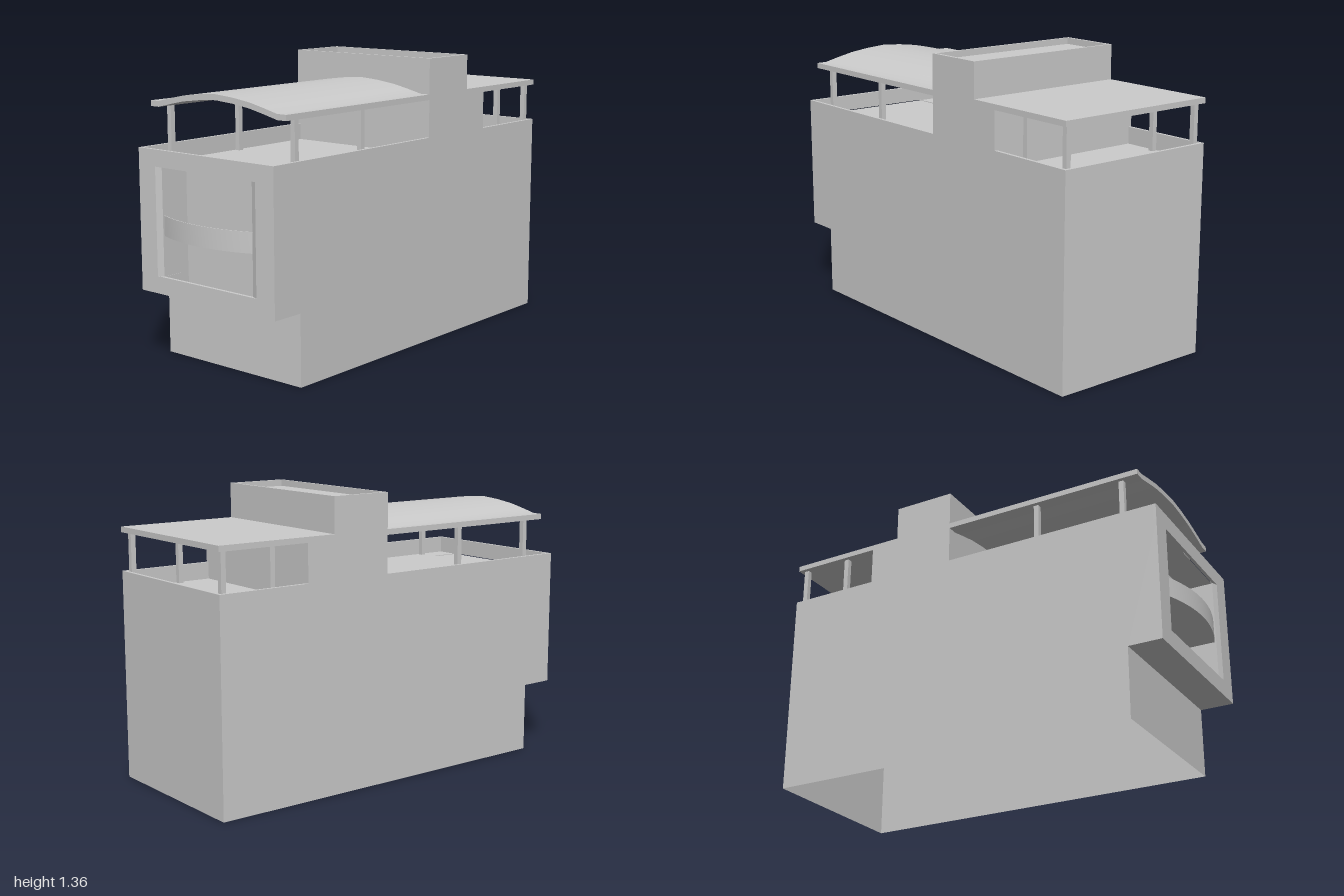
import * as THREE from 'three';
import { toCreasedNormals } from 'three/addons/utils/BufferGeometryUtils.js';

const W = 0.41, RIM = 0.015, IN = W - RIM;   // half width, parapet thickness, inner half width
const FLOOR = 0.905, TOP = 0.985;            // terrace floor and parapet top
const BACK = 0.805, FRONT = 0.965;           // lower front wall, overhanging front wall
const JAMB = 0.275;                          // half width of the window room
const mat = new THREE.MeshStandardMaterial({ color: 0xcccccc, side: THREE.DoubleSide });

export function createModel() {
  const model = new THREE.Group();

  const add = (name, geo) => {
    const m = new THREE.Mesh(geo, mat);
    m.name = name;
    model.add(m);
  };
  // box from its limits
  const box = (name, x0, x1, y0, y1, z0, z1) =>
    add(name, new THREE.BoxGeometry(x1 - x0, y1 - y0, z1 - z0)
      .translate((x0 + x1) / 2, (y0 + y1) / 2, (z0 + z1) / 2));
  const shapeOf = pts => new THREE.Shape(pts.map(p => new THREE.Vector2(p[0], p[1])));
  const extrude = (shape, depth) =>
    new THREE.ExtrudeGeometry(shape, { depth, bevelEnabled: false });
  // open sheet following [z, y] points, spanning x from -w to w
  const ribbon = (name, pts, w) => {
    const pos = [];
    for (let i = 0; i < pts.length - 1; i++) {
      const [z0, y0] = pts[i], [z1, y1] = pts[i + 1];
      pos.push(-w, y0, z0, w, y0, z0, w, y1, z1, -w, y0, z0, w, y1, z1, -w, y1, z1);
    }
    const geo = new THREE.BufferGeometry();
    geo.setAttribute('position', new THREE.Float32BufferAttribute(pos, 3));
    geo.computeVertexNormals();
    add(name, geo);
  };

  // Hollow body, open underneath
  ribbon('backWall', [[-1, FLOOR], [-1, 0]], W);
  ribbon('lowerFrontWall', [[BACK, 0], [BACK, 0.33], [FRONT, 0.33]], W);
  ribbon('terracesAndTower', [
    [0.95, FLOOR], [-0.1, FLOOR], [-0.1, 1.355], [-0.112, 1.355], [-0.112, 1.325],
    [-0.39, 1.325], [-0.39, 1.355], [-0.402, 1.355], [-0.402, 1.165], [-0.545, 1.165],
    [-0.545, FLOOR], [-0.985, FLOOR], [-0.985, TOP], [-1, TOP], [-1, FLOOR],
  ].reverse(), IN);

  // Side walls: thin below, thick where they rise above the terrace floors
  const lowerSide = shapeOf([
    [-1, 0], [BACK, 0], [BACK, 0.33], [FRONT, 0.33], [FRONT, FLOOR], [-1, FLOOR],
  ]);
  const upperSide = shapeOf([
    [-1, FLOOR], [0.95, FLOOR], [0.95, TOP], [-0.1, TOP], [-0.1, 1.355], [-0.402, 1.355],
    [-0.402, 1.165], [-0.545, 1.165], [-0.545, TOP], [-1, TOP],
  ]);
  for (const s of [1, -1]) {
    add('sideWall', new THREE.ShapeGeometry(lowerSide)
      .rotateY(-s * Math.PI / 2).scale(1, 1, s).translate(s * W, 0, 0));
    add('sideParapet', extrude(upperSide, RIM).rotateY(-Math.PI / 2)
      .translate(s > 0 ? W : -IN, 0, 0));
  }

  // Front wall and parapet with the window opening
  const frame = shapeOf([[-W, 0.33], [W, 0.33], [W, TOP], [-W, TOP]]);
  frame.holes.push(shapeOf([[-0.305, 0.41], [-0.305, 0.908], [0.305, 0.908], [0.305, 0.41]]));
  add('frontWall', extrude(frame, RIM).translate(0, 0, FRONT - RIM));

  // Room behind the window, with flared jambs
  box('windowRoomBack', -JAMB, JAMB, 0.33, FLOOR, BACK, BACK + 0.001);
  for (const s of [1, -1]) {
    const jamb = [[s * JAMB, BACK], [s * JAMB, 0.953], [s * 0.305, FRONT], [s * 0.305, 0.95],
      [s * (JAMB + 0.002), 0.95], [s * (JAMB + 0.002), BACK]];
    add('windowRoomSide', extrude(shapeOf(jamb), 0.498).rotateX(Math.PI / 2).translate(0, 0.908, 0));
    box('windowRoomSideBase', s * JAMB - 0.001, s * JAMB + 0.001, 0.33, 0.41, BACK, 0.95);
  }

  // Bowed balcony in the window: floor slab and thin parapet
  const arc = (inset, n = 16) => Array.from({ length: n + 1 }, (_, i) => {
    const t = (i / n) * 2 - 1;
    return [JAMB * t, 1 - inset - 0.055 * t * t];
  });
  const plan = (name, pts, y0, y1) =>
    add(name, toCreasedNormals(extrude(shapeOf(pts), y1 - y0), 0.5)
      .rotateX(Math.PI / 2).translate(0, y1, 0));
  plan('balconyFloor', [[-JAMB, BACK], ...arc(0.003), [JAMB, BACK]], 0.597, 0.63);
  plan('balconyParapet', [...arc(0), ...arc(0.004).reverse()], 0.595, 0.688);

  // Arched front canopy, flat at both edges
  const half = [[0.41, 1.188], [0.36, 1.188], [0.28, 1.207], [0.2, 1.224], [0.1, 1.237]];
  const upper = [...half, [0, 1.244], ...half.map(([x, y]) => [-x, y]).reverse()];
  const lower = upper.map(([x, y]) => [x, y - 0.026]).reverse();
  add('frontCanopy', toCreasedNormals(extrude(shapeOf([...upper, ...lower]), 0.985), 0.5)
    .translate(0, 0, -0.1));

  // Flat rear canopy
  box('rearCanopy', -W, W, 1.163, 1.189, -1, -0.402);

  // Canopy posts standing on the terrace floors
  for (const z of [0.795, 0.36, -0.718, -0.966])
    for (const x of [-0.378, 0.374])
      box('canopyPost', x - 0.012, x + 0.012, FLOOR, 1.165, z - 0.012, z + 0.012);

  return model;
}
